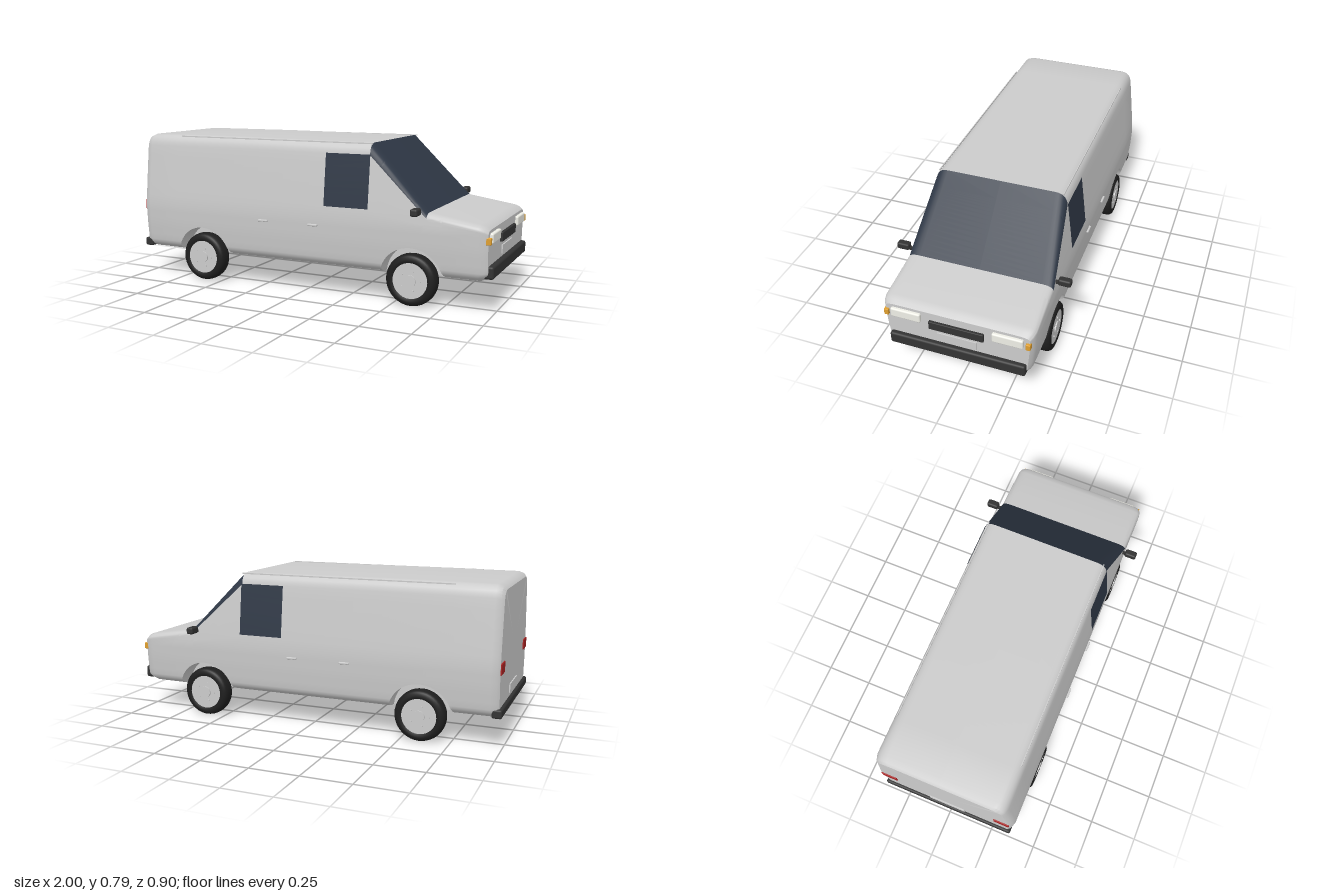
import * as THREE from 'three';
import { toCreasedNormals } from 'three/addons/utils/BufferGeometryUtils.js';
import { RoundedBoxGeometry } from 'three/addons/geometries/RoundedBoxGeometry.js';

const mat = (color, side = THREE.FrontSide) => new THREE.MeshStandardMaterial({ color, side });
const grey = mat(0xcccccc), glass = mat(0x2f3846, THREE.DoubleSide), dark = mat(0x333333);
const rubber = mat(0x1e1e1e), lamp = mat(0xeeeee6), amber = mat(0xe0a030), red = mat(0xa82222);

const AXLES = [-0.6, 0.6], WHEEL_Y = 0.13, ARCH_R = 0.163, WELL_Z = 0.26;
const SCREEN = [0.375, 0.68];

// Stations along the van: x, top height, top corner drop, side inset, floor height
const STATIONS = [
  [-0.985, 0.762, 0.05, 0.022, 0.155],
  [-0.972, 0.778, 0.055, 0.008, 0.15],
  [-0.945, 0.788, 0.06, 0, 0.148],
  [-0.4, 0.79, 0.06, 0, 0.147],
  [0.375, 0.785, 0.058, 0, 0.147],
  [0.68, 0.467, 0.025, 0, 0.147],
  [0.93, 0.428, 0.025, 0, 0.148],
  [0.957, 0.42, 0.025, 0.006, 0.158],
  [0.975, 0.404, 0.02, 0.018, 0.175],
];
// Half width of the flank by height
const FLANK = [[0.2, 0.364], [0.3, 0.374], [0.4, 0.378], [0.46, 0.373], [0.6, 0.357], [0.7, 0.345], [0.8, 0.333]];

function lookup(table, v) {
  let i = 0;
  while (i < table.length - 2 && v > table[i + 1][0]) i++;
  const a = table[i], b = table[i + 1];
  const t = THREE.MathUtils.clamp((v - a[0]) / (b[0] - a[0]), 0, 1);
  return a.map((n, k) => n + (b[k] - n) * t);
}

function halfWidth(y, floor = 0.147) {
  if (y >= 0.2) return lookup(FLANK, y)[1];
  const t = Math.min(1, (0.2 - y) / (0.2 - floor));
  return WELL_Z + (0.364 - WELL_Z) * Math.sqrt(1 - t * t);
}

// Height of the wheel arch at x, or 0 away from the wheels
function archHeight(x) {
  for (const cx of AXLES) {
    const d = Math.abs(x - cx);
    if (d < ARCH_R) return WHEEL_Y + Math.sqrt(ARCH_R ** 2 - d * d);
  }
  return 0;
}

const CORNER_ROWS = 6;
// Closed cross-section: floor centre, +z flank, roof centre, -z flank
function section(x) {
  const [, h, c, inset, floor] = lookup(STATIONS, x);
  const arch = Math.max(floor, archHeight(x));
  const half = [[0, floor], [WELL_Z - inset, floor], [WELL_Z - inset, arch]];
  const side = (y) => {
    const yy = Math.max(y, arch);
    half.push([halfWidth(yy, floor) - inset, yy]);
  };
  for (let i = 0; i < 6; i++) side(0.2 - (0.2 - floor) * Math.cos((i / 6) * Math.PI / 2));
  const top = h - c, mid = Math.min(0.4, top - 0.01);
  for (let i = 0; i < 6; i++) side(0.2 + (mid - 0.2) * i / 6);
  for (let i = 0; i < 6; i++) side(mid + (top - mid) * i / 6);
  const z0 = halfWidth(top) - inset, z1 = halfWidth(h) - inset;
  for (let i = 0; i <= CORNER_ROWS; i++) {
    const t = i / CORNER_ROWS, s = 1 - t;
    half.push([s * s * z0 + 2 * s * t * z1 + t * t * (z1 - 0.055), s * s * top + (1 - s * s) * h]);
  }
  half.push([0, h]);
  const mirrored = half.slice(1, -1).reverse().map(([z, y]) => [-z, y]);
  return { half: half.length, pts: [...half, ...mirrored].map(([z, y]) => new THREE.Vector3(x, y, z)) };
}

function buildShell(group) {
  const xs = STATIONS.map((s) => s[0]);
  for (const cx of AXLES) for (let i = 0; i <= 28; i++) xs.push(cx + ARCH_R * Math.cos(i / 28 * Math.PI));
  for (let x = -0.25; x < 0.3; x += 0.15) xs.push(x);
  xs.sort((a, b) => a - b);
  const rings = xs.map(section), panel = [], screen = [];
  const tri = (out, a, b, c) => {
    const area = b.clone().sub(a).cross(c.clone().sub(a)).length();
    if (area > 1e-9) for (const p of [a, b, c]) out.push(p.x, p.y, p.z);
  };
  const count = rings[0].pts.length, topRow = rings[0].half - 1;
  for (let i = 0; i < rings.length - 1; i++) {
    const A = rings[i].pts, B = rings[i + 1].pts;
    const inScreen = xs[i] >= SCREEN[0] - 1e-6 && xs[i + 1] <= SCREEN[1] + 1e-6;
    for (let j = 0; j < count; j++) {
      const k = (j + 1) % count;
      const isGlass = inScreen && Math.abs(j + 0.5 - topRow) < CORNER_ROWS + 1;
      const out = isGlass ? screen : panel;
      tri(out, A[j], B[j], B[k]);
      tri(out, A[j], B[k], A[k]);
    }
  }
  // Tail and nose caps
  const tail = rings[0].pts, nose = rings[rings.length - 1].pts;
  const tailMid = new THREE.Vector3(tail[0].x, 0.45, 0), noseMid = new THREE.Vector3(nose[0].x, 0.3, 0);
  for (let j = 0; j < count; j++) {
    const k = (j + 1) % count;
    tri(panel, tailMid, tail[j], tail[k]);
    tri(panel, noseMid, nose[k], nose[j]);
  }
  for (const [name, data, m] of [['bodyShell', panel, grey], ['windscreen', screen, glass]]) {
    const g = new THREE.BufferGeometry();
    g.setAttribute('position', new THREE.Float32BufferAttribute(data, 3));
    add(group, name, toCreasedNormals(g, 0.6), m);
  }
}

function add(parent, name, geometry, material, x = 0, y = 0, z = 0) {
  const mesh = new THREE.Mesh(geometry, material);
  mesh.name = name;
  mesh.position.set(x, y, z);
  parent.add(mesh);
  return mesh;
}
const rbox = (w, h, d, r) => new RoundedBoxGeometry(w, h, d, 3, r);
const box = (w, h, d) => new THREE.BoxGeometry(w, h, d);

// Wheel with its outer face towards +z
function makeWheel() {
  const wheel = new THREE.Group();
  wheel.name = 'wheel';
  const turn = (pts) => new THREE.LatheGeometry(pts.map(([r, y]) => new THREE.Vector2(r, y)), 40).rotateX(Math.PI / 2);
  add(wheel, 'tyre', turn([[0.085, -0.034], [0.095, -0.041], [0.108, -0.041], [0.12, -0.036], [0.127, -0.026], [0.13, -0.012],
    [0.13, 0.012], [0.127, 0.026], [0.12, 0.036], [0.108, 0.041], [0.095, 0.041], [0.085, 0.034]]), rubber);
  const disc = (r, d) => new THREE.CylinderGeometry(r, r, d, 32).rotateX(Math.PI / 2);
  add(wheel, 'rim', disc(0.089, 0.04), grey, 0, 0, 0.017);
  add(wheel, 'innerDisc', disc(0.087, 0.03), dark, 0, 0, -0.021);
  add(wheel, 'hubCap', disc(0.03, 0.012), grey, 0, 0, 0.037);
  for (let i = 0; i < 5; i++) {
    const a = i / 5 * Math.PI * 2;
    add(wheel, 'wheelNut', disc(0.005, 0.006), grey, 0.05 * Math.cos(a), 0.05 * Math.sin(a), 0.038);
  }
  return wheel;
}

// Flush window following the flank
function sideWindow(s) {
  const g = new THREE.PlaneGeometry(0.24, 0.265, 1, 8), p = g.attributes.position;
  for (let i = 0; i < p.count; i++) {
    const y = p.getY(i) + 0.5975;
    p.setXYZ(i, p.getX(i) + 0.258, y, s * (halfWidth(y) + 0.003));
  }
  if (s < 0) g.setIndex([...g.index.array].reverse());
  g.computeVertexNormals();
  return g;
}

export function createModel() {
  const van = new THREE.Group();
  van.name = 'van';
  buildShell(van);

  // Nose
  add(van, 'frontBumper', rbox(0.05, 0.063, 0.686, 0.012), dark, 0.975, 0.203, 0);
  add(van, 'grille', rbox(0.024, 0.046, 0.274, 0.004), dark, 0.977, 0.338, 0);
  add(van, 'frontPlate', box(0.014, 0.043, 0.2), grey, 0.974, 0.271, 0);

  // Tail
  add(van, 'rearBumper', rbox(0.05, 0.045, 0.72, 0.01), dark, -0.975, 0.18, 0);
  add(van, 'rearPlate', box(0.012, 0.045, 0.2), grey, -0.985, 0.245, 0);
  add(van, 'exhaust', new THREE.CylinderGeometry(0.009, 0.009, 0.12, 16).rotateZ(Math.PI / 2), grey, -0.935, 0.15, 0.23);

  for (const s of [1, -1]) {
    add(van, 'headlight', rbox(0.026, 0.05, 0.152, 0.008), lamp, 0.978, 0.364, s * 0.254);
    add(van, 'indicator', rbox(0.03, 0.034, 0.023, 0.004), amber, 0.974, 0.356, s * 0.353);
    add(van, 'tailLight', rbox(0.022, 0.056, 0.085, 0.004), red, -0.98, 0.395, s * 0.312);
    add(van, 'sideWindow', sideWindow(s), glass);
    add(van, 'roofRail', box(1.13, 0.006, 0.005), grey, -0.185, 0.782, s * 0.322);
    for (const x of [-0.212, 0.077]) add(van, 'doorHandle', rbox(0.055, 0.011, 0.014, 0.004), grey, x, 0.364, s * 0.38);
    add(van, 'mirror', rbox(0.038, 0.036, 0.064, 0.01), dark, 0.64, 0.477, s * 0.418);
    add(van, 'mirrorArm', box(0.016, 0.012, 0.04), dark, 0.64, 0.466, s * 0.379);
    for (const x of AXLES) {
      const wheel = makeWheel();
      wheel.position.set(x, WHEEL_Y, s * 0.333);
      if (s < 0) wheel.rotation.y = Math.PI;
      van.add(wheel);
    }
  }
  return van;
}
